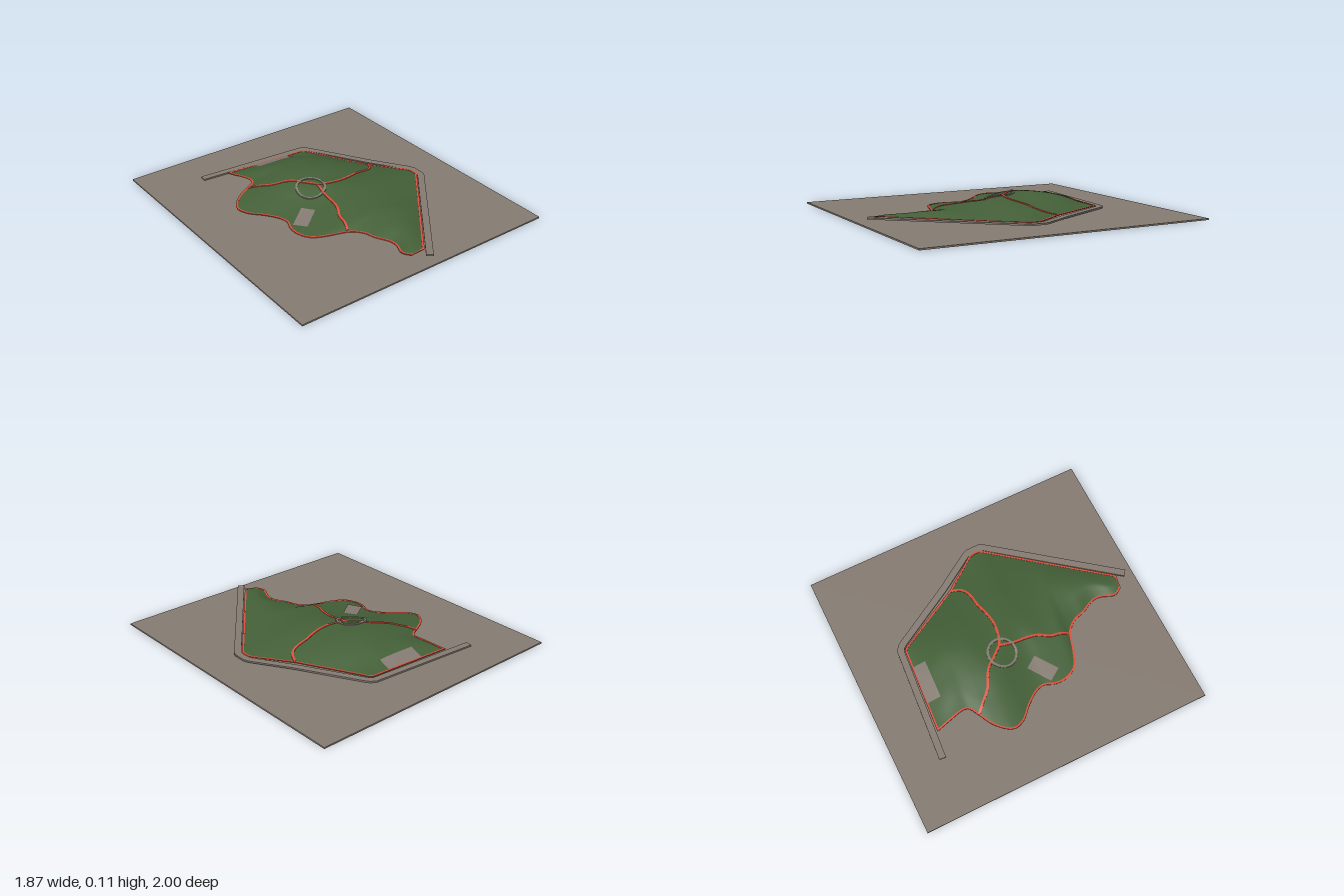
import * as THREE from 'three';

const mat = (name, color) => Object.assign(new THREE.MeshStandardMaterial({ color, side: THREE.DoubleSide }), { name });
const V = (x, y, z) => new THREE.Vector3(x, y, z);

// Plan outline: left shore is curved, right side is straight; both run back to front
const leftShore = new THREE.SplineCurve([
  [-0.37, -0.66], [-0.345, -0.56], [-0.325, -0.47], [-0.335, -0.42], [-0.4, -0.38], [-0.49, -0.33], [-0.56, -0.26],
  [-0.58, -0.2], [-0.55, -0.13], [-0.48, -0.06], [-0.42, 0.02], [-0.4, 0.09], [-0.425, 0.16], [-0.425, 0.24],
  [-0.385, 0.32], [-0.3, 0.365], [-0.16, 0.41], [-0.09, 0.48], [-0.065, 0.56], [-0.02, 0.65], [-0.02, 0.72],
  [-0.05, 0.79], [-0.045, 0.83], [-0.025, 0.86],
].map(([x, z]) => new THREE.Vector2(x, z))).getPoints(160);
const rightSide = [[0.21, -0.62], [0.23, -0.605], [0.46, -0.18], [0.63, 0.05], [0.64, 0.08], [0.64, 0.13], [0.06, 0.87]]
  .map(([x, z]) => new THREE.Vector2(x, z));

// Ground heights: rows go back to front, columns left to right
const heights = [
  [0.022, 0.022, 0.022, 0.022, 0.022, 0.022],
  [0.045, 0.075, 0.085, 0.085, 0.062, 0.025],
  [0.035, 0.070, 0.105, 0.113, 0.083, 0.027],
  [0.025, 0.060, 0.100, 0.094, 0.068, 0.030],
  [0.015, 0.045, 0.085, 0.083, 0.060, 0.034],
  [0.014, 0.036, 0.060, 0.069, 0.058, 0.035],
  [0.015, 0.040, 0.060, 0.067, 0.058, 0.038],
  [0.016, 0.035, 0.055, 0.058, 0.052, 0.041],
  [0.030, 0.036, 0.040, 0.042, 0.042, 0.043],
];

const clamp = THREE.MathUtils.clamp;
function xAt(line, z) {
  for (let i = 1; i < line.length; i++) {
    const a = line[i - 1], b = line[i];
    if (z <= b.y || i === line.length - 1) {
      return a.x + (b.x - a.x) * clamp((z - a.y) / (b.y - a.y || 1e-6), 0, 1);
    }
  }
}
function edgePoint(line, t) {
  const z = THREE.MathUtils.lerp(line[0].y, line[line.length - 1].y, t);
  return [xAt(line, z), z];
}
// Smooth interpolation through a list of values
function smooth(list, s) {
  const n = list.length - 1, p = clamp(s, 0, 1) * n, i = Math.min(Math.floor(p), n - 1), f = p - i;
  const b = list[i], c = list[i + 1];
  const m0 = i > 0 ? (c - list[i - 1]) / 2 : c - b;
  const m1 = i + 2 <= n ? (list[i + 2] - b) / 2 : c - b;
  const f2 = f * f, f3 = f2 * f;
  return (2 * f3 - 3 * f2 + 1) * b + (f3 - 2 * f2 + f) * m0 + (3 * f2 - 2 * f3) * c + (f3 - f2) * m1;
}
const heightUT = (u, t) => smooth(heights.map((row) => smooth(row, u)), t);

function groundPoint(u, t) {
  const [lx, lz] = edgePoint(leftShore, t), [rx, rz] = edgePoint(rightSide, t);
  return V(lx + (rx - lx) * u, heightUT(u, t), lz + (rz - lz) * u);
}
function groundY(x, z) {
  let u = 0.5, t = 0.5;
  for (let k = 0; k < 6; k++) {
    const z0 = THREE.MathUtils.lerp(leftShore[0].y, rightSide[0].y, u);
    const z1 = THREE.MathUtils.lerp(0.86, 0.87, u);
    t = clamp((z - z0) / (z1 - z0), 0, 1);
    const lx = edgePoint(leftShore, t)[0], rx = edgePoint(rightSide, t)[0];
    u = clamp((x - lx) / (rx - lx), 0, 1);
  }
  return heightUT(u, t);
}

// Grid surface from a function of u (across) and t (towards the front)
function sheet(fn, cols, rows) {
  const pos = [], index = [];
  for (let i = 0; i <= rows; i++) {
    for (let j = 0; j <= cols; j++) {
      pos.push(...fn(j / cols, i / rows).toArray());
      if (i < rows && j < cols) {
        const a = i * (cols + 1) + j, c = a + cols + 1;
        index.push(a, c, c + 1, a, c + 1, a + 1);
      }
    }
  }
  const g = new THREE.BufferGeometry();
  g.setAttribute('position', new THREE.Float32BufferAttribute(pos, 3));
  g.setIndex(index);
  g.computeVertexNormals();
  return g;
}

// Flat bar of rectangular section swept along points, with mitred corners
function bar(points, width, thick, closed = false) {
  const n = points.length, pos = [];
  const dir = (a, b) => V(b.x - a.x, 0, b.z - a.z).normalize();
  const sections = points.map((p, i) => {
    const prev = i > 0 ? points[i - 1] : closed ? points[n - 1] : null;
    const next = i < n - 1 ? points[i + 1] : closed ? points[0] : null;
    const d0 = dir(prev || p, prev ? p : next), d1 = next ? dir(p, next) : d0;
    const d = d0.clone().add(d1).normalize();
    const w = width / 2 / Math.max(d.dot(d0), 0.6);
    const s = V(-d.z * w, 0, d.x * w), down = V(0, -thick, 0);
    const l = p.clone().sub(s), r = p.clone().add(s);
    return [l, r, r.clone().add(down), l.clone().add(down)];
  });
  const quad = (a, b, c, d) => [a, b, c, a, c, d].forEach((v) => pos.push(v.x, v.y, v.z));
  for (let i = 0; i < (closed ? n : n - 1); i++) {
    const a = sections[i], b = sections[(i + 1) % n];
    for (let k = 0; k < 4; k++) quad(a[k], a[(k + 1) % 4], b[(k + 1) % 4], b[k]);
  }
  if (!closed) {
    const a = sections[0], b = sections[n - 1];
    quad(a[0], a[3], a[2], a[1]);
    quad(b[0], b[1], b[2], b[3]);
  }
  const g = new THREE.BufferGeometry();
  g.setAttribute('position', new THREE.Float32BufferAttribute(pos, 3));
  g.computeVertexNormals();
  return g;
}

export function createModel() {
  const model = new THREE.Group();
  const stone = mat('stone grey', 0x857b72);
  const grass = mat('grass green', 0x446038);
  const red = mat('path red', 0xdc503c);
  const add = (name, geometry, material) => {
    const mesh = new THREE.Mesh(geometry, material);
    mesh.name = name;
    model.add(mesh);
    return mesh;
  };

  // Ground slab
  add('baseSlab', new THREE.BoxGeometry(1.87, 0.01, 2), stone).position.y = 0.005;

  // Hill
  add('hill', sheet(groundPoint, 50, 110), grass);

  // Raised road along the back and right
  const road = [[-0.55, -0.713], [0.225, -0.652], [0.252, -0.635], [0.27, -0.61], [0.5, -0.21], [0.655, 0.03],
    [0.667, 0.06], [0.667, 0.14], [0.655, 0.165], [0.05, 0.94]];
  add('road', bar(road.map(([x, z]) => V(x, 0.02 + 0.0155 * (z + 0.7), z)), 0.046, 0.011), stone);

  // Red rim around the hill
  const rim = [];
  const N = 90;
  for (let i = 0; i <= N; i++) rim.push(groundPoint(0, i / N));
  for (let i = 0; i <= N; i++) rim.push(groundPoint(1, 1 - i / N));
  rim.forEach((p) => { p.y += 0.003; });
  add('rim', bar(rim, 0.013, 0.005, true), red);

  // Winding footpaths that meet in the clearing
  const paths = {
    pathBack: [[-0.4, -0.38], [-0.34, -0.32], [-0.28, -0.26], [-0.21, -0.225], [-0.16, -0.19], [-0.12, -0.14], [-0.055, -0.065]],
    pathRight: [[-0.055, -0.065], [0, -0.04], [0.1, -0.025], [0.2, -0.04], [0.27, -0.06], [0.37, -0.075], [0.43, -0.11], [0.46, -0.17]],
    pathFront: [[-0.055, -0.065], [-0.07, 0.03], [-0.075, 0.12], [-0.09, 0.2], [-0.13, 0.28], [-0.14, 0.34], [-0.16, 0.4]],
  };
  for (const [name, pts] of Object.entries(paths)) {
    const line = new THREE.SplineCurve(pts.map(([x, z]) => new THREE.Vector2(x, z))).getPoints(48);
    add(name, bar(line.map((p) => V(p.x, groundY(p.x, p.y) + 0.004, p.y)), 0.016, 0.006), red);
  }

  // Ring in the clearing
  const ring = [];
  for (let i = 0; i < 48; i++) {
    const a = (i / 48) * Math.PI * 2, x = -0.106 + 0.094 * Math.cos(a), z = -0.067 + 0.094 * Math.sin(a);
    ring.push(V(x, groundY(x, z) + 0.005, z));
  }
  add('clearingRing', bar(ring, 0.016, 0.006, true), stone);

  // Paved pads lying on the slope; corners: back left, back right, front left, front right
  const pads = {
    backPad: [[-0.18, -0.645], [0.085, -0.625], [-0.185, -0.552], [0.08, -0.54]],
    leftPad: [[-0.4, 0.145], [-0.26, 0.04], [-0.345, 0.228], [-0.205, 0.12]],
  };
  for (const [name, [a, b, c, d]] of Object.entries(pads)) {
    const mix = (k, u, t) => (a[k] * (1 - u) + b[k] * u) * (1 - t) + (c[k] * (1 - u) + d[k] * u) * t;
    add(name, sheet((u, t) => {
      const x = mix(0, u, t), z = mix(1, u, t);
      return V(x, groundY(x, z) + 0.005, z);
    }, 10, 8), stone);
  }
  return model;
}
